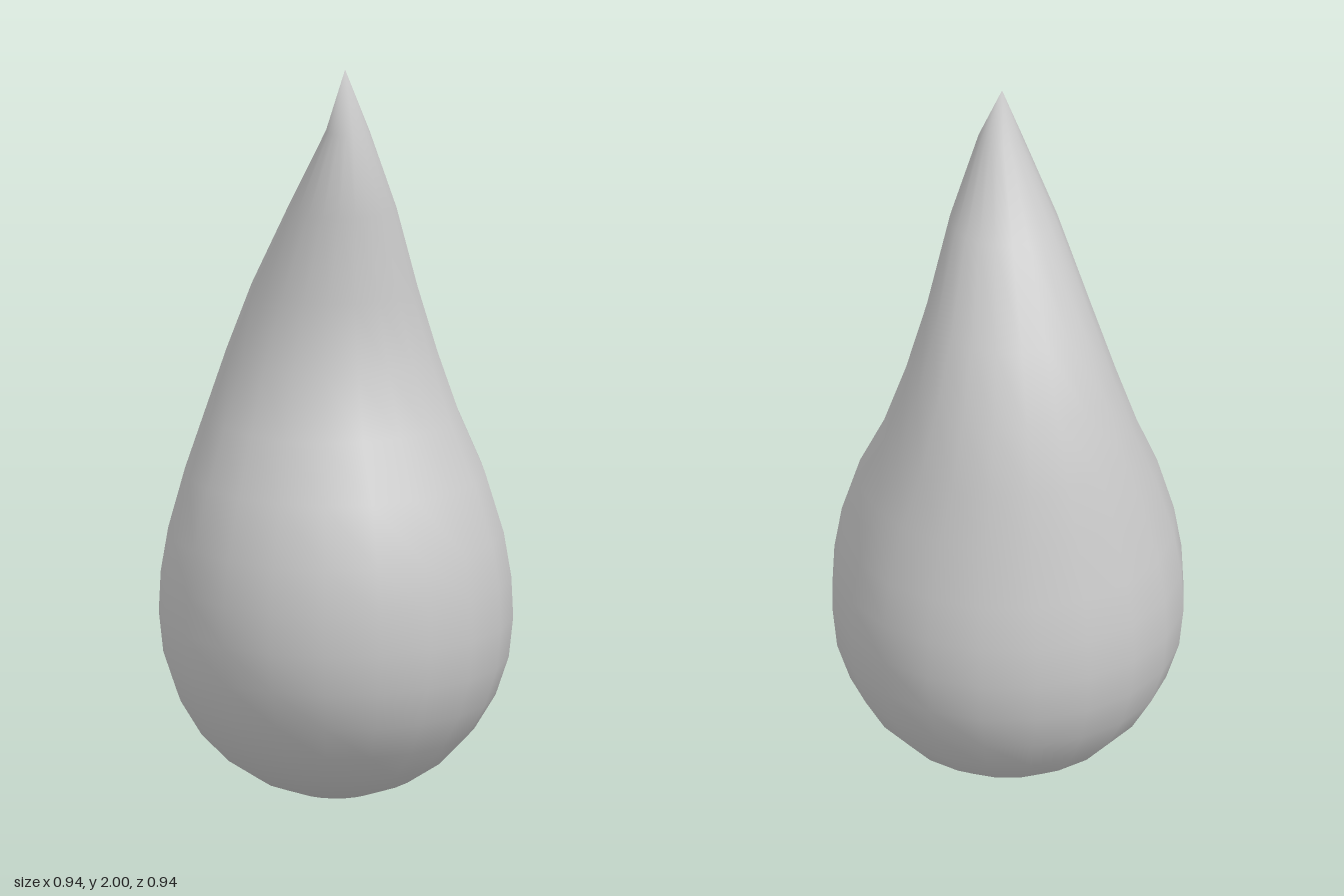
import * as THREE from 'three';
import { mergeVertices } from 'three/addons/utils/BufferGeometryUtils.js';

const SIDES = 20;

// rings above the belly: [radius, height, forward shift of the ring centre]
const UPPER = [
  [0.465, 0.6, 0], [0.445, 0.72, 0], [0.398, 0.88, -0.01], [0.338, 1.03, -0.04],
  [0.28, 1.2, -0.043], [0.22, 1.385, -0.016], [0.143, 1.62, 0.07],
  [0.058, 1.84, 0.127], [0, 2, 0.098],
];

export function createModel() {
  const group = new THREE.Group();
  group.name = 'droplet';

  // rounded bottom up to the widest ring
  const rings = [];
  for (let i = 0; i <= 7; i++) {
    const a = (i / 7) * Math.PI / 2;
    rings.push([0.47 * Math.sin(a), 0.49 * (1 - Math.cos(a)), 0]);
  }
  rings.push(...UPPER);

  // lathe the drop, then slide each ring along z to bend the tip
  let geometry = new THREE.LatheGeometry(rings.map(([r, y]) => new THREE.Vector2(r, y)), SIDES);
  const pos = geometry.attributes.position;
  for (let i = 0; i < pos.count; i++) {
    pos.setZ(i, pos.getZ(i) + rings[i % rings.length][2]);
  }

  // weld the seam and poles for continuous smooth shading
  geometry.deleteAttribute('uv');
  geometry.deleteAttribute('normal');
  geometry = mergeVertices(geometry, 1e-5);
  geometry.computeVertexNormals();

  const body = new THREE.Mesh(geometry, new THREE.MeshStandardMaterial({ color: 0xcccccc }));
  body.name = 'dropletBody';
  group.add(body);
  return group;
}
